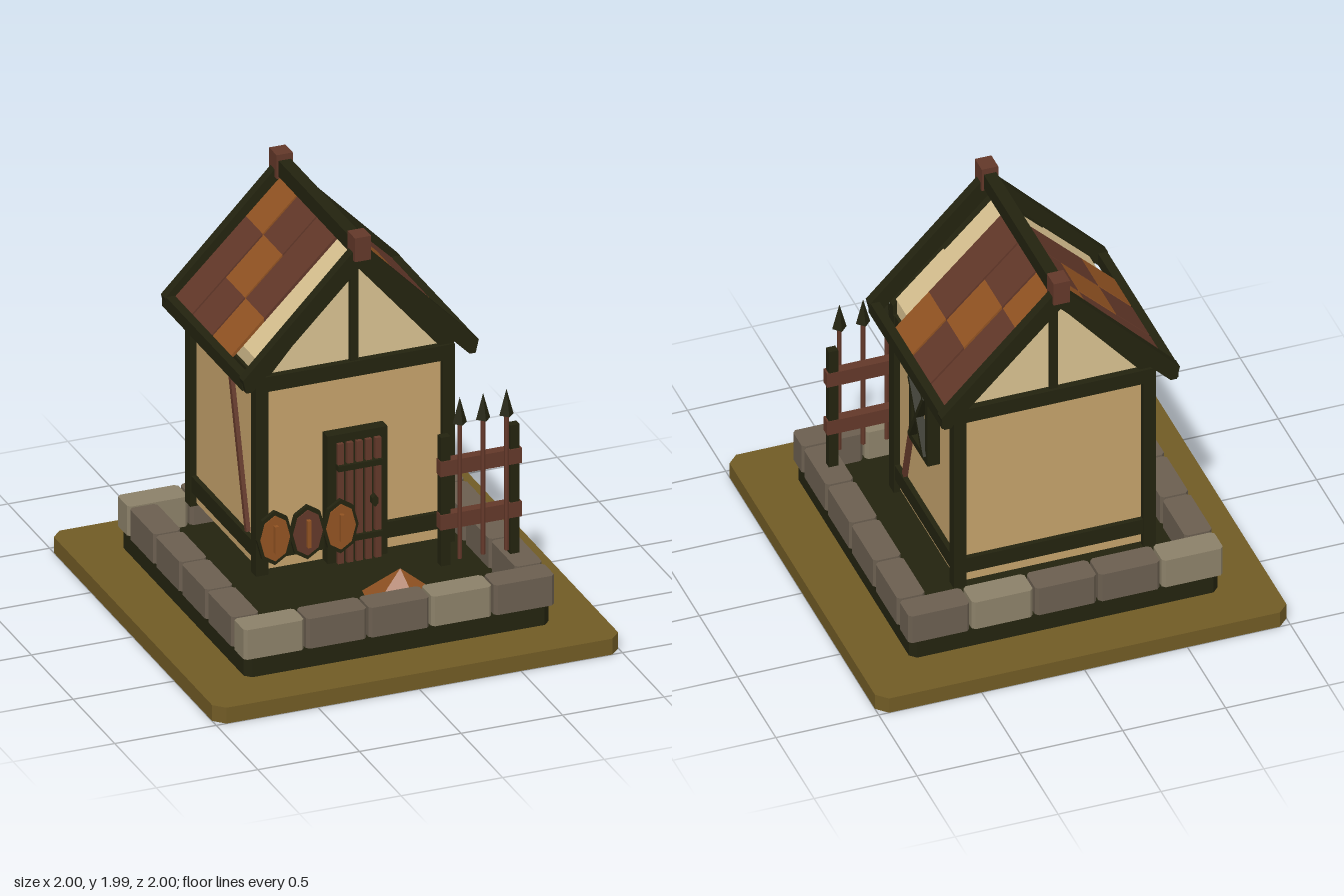
import * as THREE from 'three';

const mat = (name, color) => {
  const m = new THREE.MeshStandardMaterial({ color });
  m.name = name;
  return m;
};

export function createModel() {
  const timber = mat('dark timber', 0x23230f), brown = mat('brown wood', 0x633829);
  const orange = mat('orange', 0x925322), plaster = mat('plaster', 0xc4a26b);
  const cream = mat('cream', 0xd8c190), earth = mat('earth', 0x715b25);
  const stoneDark = mat('dark stone', 0x6b5f50), stoneLight = mat('light stone', 0x8c8169);

  const model = new THREE.Group();
  let target = model;
  const section = name => {
    target = new THREE.Group();
    target.name = name;
    model.add(target);
  };
  const add = (name, geo, m, x = 0, y = 0, z = 0) => {
    const mesh = new THREE.Mesh(geo, m);
    mesh.name = name;
    mesh.position.set(x, y, z);
    target.add(mesh);
    return mesh;
  };
  // Box given by its minimum and maximum on each axis
  const box = (name, m, x0, x1, y0, y1, z0, z1) =>
    add(name, new THREE.BoxGeometry(x1 - x0, y1 - y0, z1 - z0), m, (x0 + x1) / 2, (y0 + y1) / 2, (z0 + z1) / 2);
  // Outline in x and y, extruded along z
  const extrude = (pts, depth) => new THREE.ExtrudeGeometry(
    new THREE.Shape(pts.map(p => new THREE.Vector2(p[0], p[1]))), { depth, bevelEnabled: false });
  // Slab with cut vertical corners, standing on y0
  const slab = (name, m, w, d, c, y0, y1, x = 0, z = 0) => {
    const a = w / 2, b = d / 2;
    const geo = extrude([[-a + c, -b], [a - c, -b], [a, -b + c], [a, b - c],
      [a - c, b], [-a + c, b], [-a, b - c], [-a, -b + c]], y1 - y0);
    return add(name, geo.rotateX(-Math.PI / 2), m, x, y0, z);
  };
  const flat = geo => {
    const g = geo.toNonIndexed();
    g.computeVertexNormals();
    return g;
  };
  // Bar on a side wall between two (z, y) points
  const sideBar = (name, m, x, thick, width, z0, y0, z1, y1) => {
    const bar = add(name, new THREE.BoxGeometry(thick, Math.hypot(z1 - z0, y1 - y0), width), m,
      x, (y0 + y1) / 2, (z0 + z1) / 2);
    bar.rotation.x = Math.atan2(z1 - z0, y1 - y0);
  };

  // Ground and plinth
  section('ground');
  slab('groundPlate', earth, 2, 2, 0.05, 0, 0.08);
  slab('plinth', timber, 1.5, 1.5, 0.03, 0.08, 0.18);

  // Stone border
  section('stoneBorder');
  for (const s of [-1, 1]) {
    for (let i = 0; i < 5; i++)
      slab('stone', i % 3 === 0 ? stoneLight : stoneDark, 0.297, 0.135, 0.015, 0.18, 0.33, (i - 2) * 0.308, s * 0.698);
    for (let i = 0; i < 4; i++)
      slab('stone', stoneDark, 0.135, 0.3, 0.015, 0.18, 0.33, s * 0.698, (i - 1.5) * 0.312);
  }

  // House body
  section('house');
  const zb = -0.615, zf = 0.235;
  box('walls', plaster, -0.46, 0.46, 0.33, 1.3, zb + 0.03, zf - 0.03);
  for (const s of [-1, 1]) {
    for (const z of [zb + 0.03, zf - 0.03])
      box('cornerPost', timber, s * 0.46 - 0.03, s * 0.46 + 0.03, 0.315, 1.3, z - 0.03, z + 0.03);
    for (const [y0, y1] of [[0.39, 0.47], [1.24, 1.315]])
      box('sideBeam', timber, s * 0.46 - 0.025, s * 0.46 + 0.025, y0, y1, zb + 0.01, zf - 0.01);
    sideBar('brace', brown, s * 0.465, 0.03, 0.026, 0.085, 0.475, -0.125, 1.23);
  }
  for (const z of [zb + 0.03, zf - 0.03]) {
    box('lowBeam', timber, -0.46, 0.46, 0.39, 0.47, z - 0.025, z + 0.025);
    box('topBeam', timber, -0.49, 0.49, 1.24, 1.315, z - 0.03, z + 0.03);
  }

  // Side window with crossed bars
  section('window');
  for (const z of [-0.12, -0.33]) box('windowJamb', timber, 0.45, 0.52, 0.83, 1.24, z - 0.015, z + 0.015);
  for (const y of [0.847, 1.222]) box('windowRail', timber, 0.45, 0.52, y - 0.018, y + 0.018, -0.345, -0.105);
  sideBar('crossBar', timber, 0.515, 0.04, 0.02, -0.13, 0.87, -0.32, 1.2);
  sideBar('crossBar', timber, 0.515, 0.04, 0.02, -0.32, 0.87, -0.13, 1.2);

  // Door
  section('door');
  box('doorFrame', timber, -0.15, 0.145, 0.33, 0.975, 0.2, 0.265);
  for (let i = -2; i <= 2; i++)
    box('plank', brown, i * 0.046 - 0.015, i * 0.046 + 0.015, 0.33, 0.935, 0.26, 0.285);
  for (const y of [0.455, 0.817]) box('doorBand', timber, -0.11, 0.11, y - 0.014, y + 0.014, 0.26, 0.3);
  const knob = add('doorHandle', flat(new THREE.CylinderGeometry(0.03, 0.03, 0.05, 6)), timber, 0.065, 0.633, 0.29);
  knob.rotation.x = Math.PI / 2;
  knob.scale.set(0.55, 1, 1);

  // Roof core, gable frames and bargeboards
  section('roof');
  add('roofCore', extrude([[-0.47, 1.305], [0.47, 1.305], [0.47, 1.39], [0, 1.855], [-0.47, 1.39]], 0.78), cream, 0, 0, -0.58);
  for (const z of [-0.6, 0.185]) {
    add('gableFrame', extrude([[-0.49, 1.31], [-0.42, 1.31], [0, 1.8], [0.42, 1.31], [0.49, 1.31], [0.49, 1.365], [0, 1.86], [-0.49, 1.365]], 0.037), timber, 0, 0, z);
    box('kingPost', timber, -0.02, 0.02, 1.31, 1.82, z, z + 0.037);
  }
  for (const z of [-0.688, 0.25])
    add('bargeboard', extrude([[-0.58, 1.35], [-0.565, 1.285], [-0.535, 1.285], [0, 1.825], [0.535, 1.285], [0.565, 1.285], [0.58, 1.35], [0, 1.945]], 0.05), timber, 0, 0, z);
  for (const s of [-1, 1])
    box('eaveBeam', timber, s * 0.553 - 0.022, s * 0.553 + 0.022, 1.29, 1.355, -0.685, 0.275);
  box('ridgeBeam', timber, -0.03, 0.03, 1.875, 1.955, -0.65, 0.26);
  for (const z of [-0.66, 0.28]) box('finial', brown, -0.04, 0.04, 1.865, 1.985, z - 0.045, z + 0.045);

  // Roof tiles: three rows along the ridge, three tiles down each slope
  const steps = [0, 0.185, 0.37, 0.532];
  const rows = [[0.04, -0.182, 2], [-0.193, -0.418, 1], [-0.43, -0.63, 0]];
  const slopeY = x => 1.88 - 0.985 * x;
  for (const s of [-1, 1]) for (const [z1, z0, accent] of rows) for (let i = 0; i < 3; i++) {
    const a = steps[i], b = steps[i + 1];
    const pts = [[a, slopeY(a) - 0.02], [b, slopeY(b) - 0.02], [b, slopeY(b)], [a, slopeY(a)]].map(p => [s * p[0], p[1]]);
    add('roofTile', extrude(pts, z1 - z0), i === accent ? orange : brown, 0, 0, z0);
  }

  // Shields
  section('shields');
  [-0.508, -0.347, -0.184].forEach((x, i) => {
    const disc = (name, m, rx, ry, z0, z1) => {
      const g = flat(new THREE.CylinderGeometry(1, 1, 1, 8).rotateX(Math.PI / 2).scale(rx, ry, z1 - z0));
      add(name, g, m, x, 0.635, (z0 + z1) / 2);
    };
    disc('shieldRim', timber, 0.088, 0.136, 0.487, 0.506);
    disc('shieldFace', i === 1 ? brown : orange, 0.073, 0.115, 0.503, 0.511);
    box('shieldBar', orange, x - 0.009, x + 0.009, 0.567, 0.703, 0.505, 0.532);
  });

  // Spear rack
  section('spearRack');
  for (const x of [0.342, 0.683]) box('rackPost', timber, x - 0.023, x + 0.023, 0.33, 0.98, 0.443, 0.483);
  for (const y of [0.552, 0.822]) box('rackRail', brown, 0.315, 0.715, y - 0.038, y + 0.038, 0.44, 0.488);
  [0.4, 0.515, 0.63].forEach(x => {
    add('spearShaft', flat(new THREE.CylinderGeometry(0.011, 0.011, 0.7, 6)), brown, x, 0.72, 0.51);
    add('spearTip', flat(new THREE.ConeGeometry(0.035, 0.13, 4)), timber, x, 1.12, 0.51);
  });

  // Five-sided heap in two colours
  section('heap');
  const rad = Math.PI / 180;
  const heapPart = (m, segs, start, len) => add('heapFaces', flat(
    new THREE.ConeGeometry(0.19, 0.15, segs, 1, false, start * rad, len * rad)), m, 0.14, 0.255, 0.43);
  heapPart(orange, 3, -136, 216);
  heapPart(plaster, 2, 80, 144);

  return model;
}
